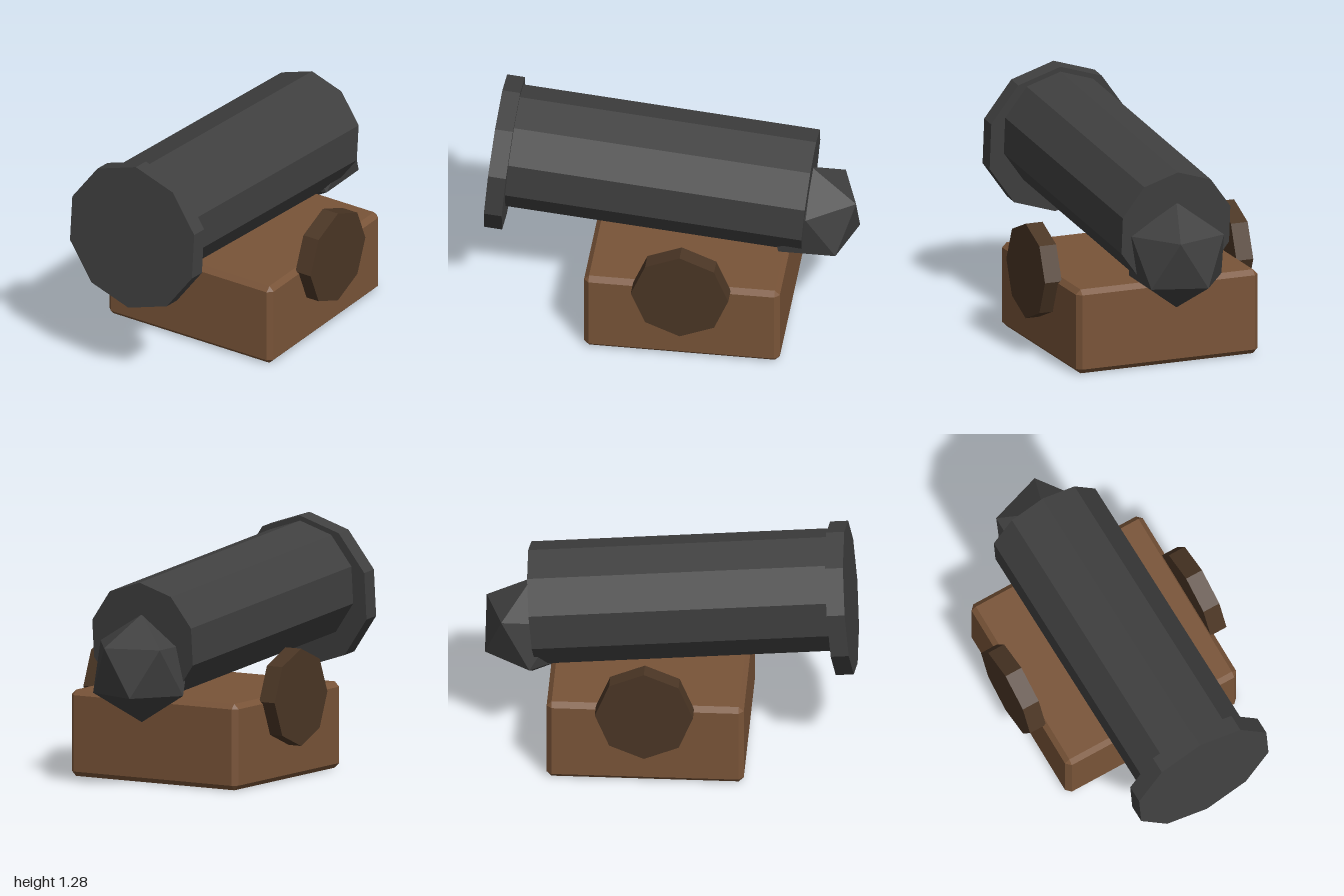
import * as THREE from 'three';
import { ConvexGeometry } from 'three/addons/geometries/ConvexGeometry.js';

const paint = (name, color) => {
  const m = new THREE.MeshStandardMaterial({ color, flatShading: true });
  m.name = name;
  return m;
};

// Box with a single flat chamfer on every edge and corner
function chamferBox(w, h, d, c) {
  const points = [];
  for (const sx of [-1, 1]) for (const sy of [-1, 1]) for (const sz of [-1, 1]) {
    for (let axis = 0; axis < 3; axis++) {
      const inset = [c, c, c];
      inset[axis] = 0;
      points.push(new THREE.Vector3(
        sx * (w / 2 - inset[0]), sy * (h / 2 - inset[1]), sz * (d / 2 - inset[2])));
    }
  }
  return new ConvexGeometry(points);
}

export function createModel() {
  const model = new THREE.Group();
  model.name = 'cannon';
  const iron = paint('dark iron', 0x404040);
  const wood = paint('brown wood', 0x795438);
  const darkWood = paint('dark wood', 0x4b3625);

  const add = (name, geometry, material, x, y, z) => {
    const mesh = new THREE.Mesh(geometry, material);
    mesh.name = name;
    mesh.position.set(x, y, z);
    model.add(mesh);
    return mesh;
  };

  // Carriage block
  add('carriage', chamferBox(1.06, 0.468, 1.06, 0.027), wood, 0, 0.234, -0.112);

  // Eight-sided wheels, one on each side
  const wheelShape = new THREE.CylinderGeometry(0.264, 0.264, 0.098, 8).rotateZ(Math.PI / 2);
  for (const side of [-1, 1]) {
    add(side > 0 ? 'leftWheel' : 'rightWheel', wheelShape, darkWood, side * 0.559, 0.451, -0.113);
  }

  // Ten-sided barrel, muzzle raised by five degrees
  const tilt = THREE.MathUtils.degToRad(5);
  const length = 1.64;
  const barrel = add('barrel', new THREE.CylinderGeometry(0.33, 0.33, length, 10), iron, 0,
    0.777 + Math.sin(tilt) * length / 2, -0.742 + Math.cos(tilt) * length / 2);
  barrel.rotation.x = Math.PI / 2 - tilt;

  // Muzzle ring, set slightly below the barrel axis
  const ring = add('muzzleRing', new THREE.CylinderGeometry(0.414, 0.414, 0.097, 10), iron, 0, 0.866, 0.916);
  ring.rotation.x = Math.PI / 2 - tilt;

  // Faceted rear knob, standing on a vertex
  const knob = new THREE.IcosahedronGeometry(0.293, 0);
  knob.rotateX(-Math.atan((1 + Math.sqrt(5)) / 2)).rotateY(Math.PI / 2);
  add('rearKnob', knob, iron, 0, 0.64, -0.749);

  return model;
}
